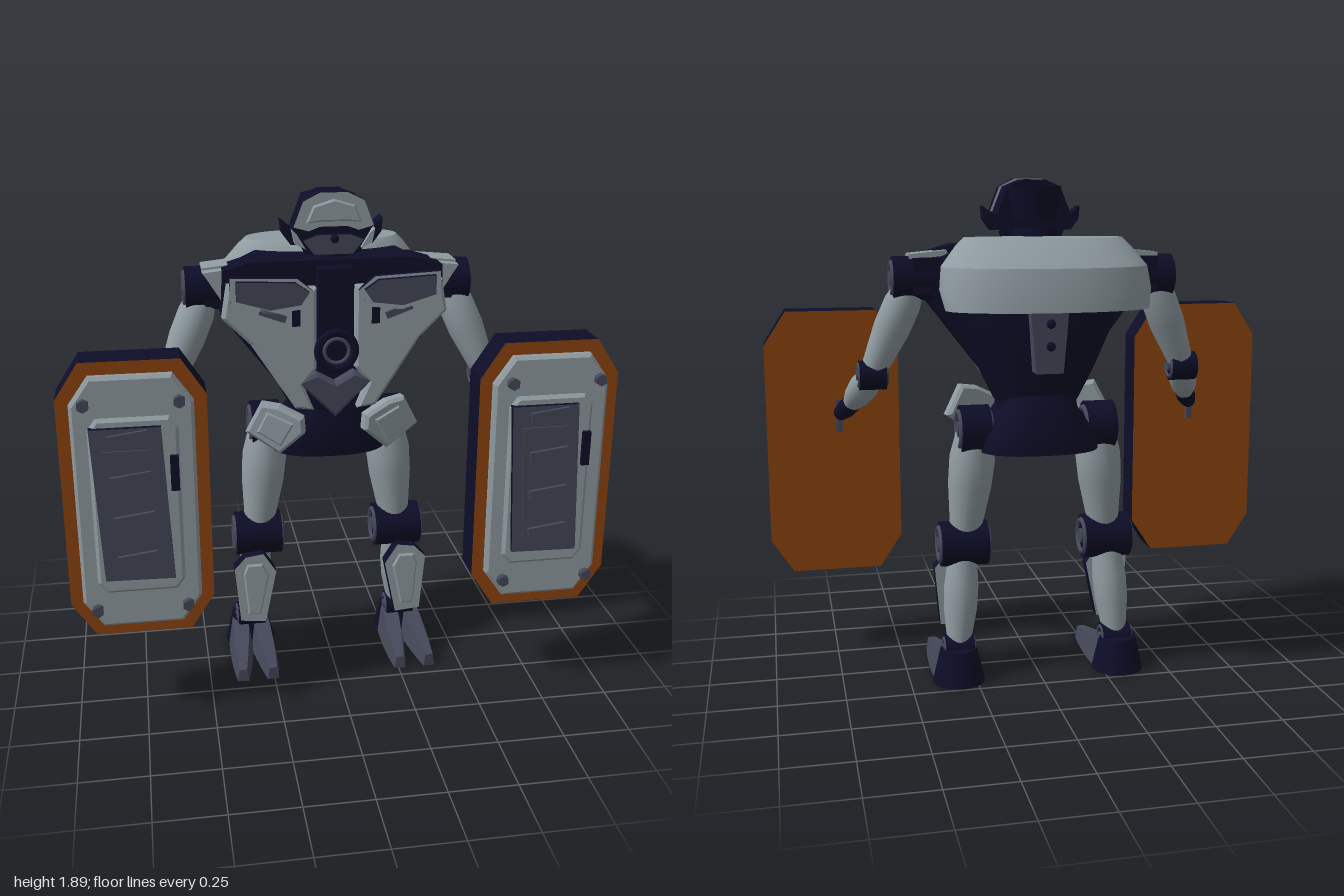
import * as THREE from 'three';
import { toCreasedNormals } from 'three/addons/utils/BufferGeometryUtils.js';

const mat = (name, color) => {
  const m = new THREE.MeshStandardMaterial({ color });
  m.name = name;
  return m;
};

export function createModel() {
  const root = new THREE.Group();
  const navy = mat('navy', 0x0d0d28), light = mat('lightGrey', 0x909ca2);
  const dark = mat('darkGrey', 0x444859), orange = mat('orange', 0x90440f);

  const add = (name, geo, material, x = 0, y = 0, z = 0, rx = 0, ry = 0, rz = 0) => {
    const m = new THREE.Mesh(geo, material);
    m.name = name;
    m.position.set(x, y, z);
    m.rotation.set(rx, ry, rz);
    root.add(m);
    return m;
  };
  const box = (name, material, w, h, d, ...place) => add(name, new THREE.BoxGeometry(w, h, d), material, ...place);

  // Flat outline pushed from z0 to z1, with separate face and rim colours
  const plate = (name, pts, z0, z1, face, rim = face, bevel = 0, ...rot) => {
    const shape = new THREE.Shape(pts.map(p => new THREE.Vector2(...p)));
    const geo = new THREE.ExtrudeGeometry(shape, {
      depth: z1 - z0 - bevel, bevelEnabled: bevel > 0, bevelThickness: bevel,
      bevelSize: bevel, bevelOffset: -bevel, bevelSegments: 1,
    });
    geo.computeBoundingBox();
    const c = geo.boundingBox.getCenter(new THREE.Vector3());
    geo.translate(-c.x, -c.y, -c.z);
    return add(name, geo, [face, rim], c.x, c.y, (z0 + z1) / 2, ...rot);
  };

  // Stack of superellipse rings [y, halfWidth, frontZ, backZ]
  const loft = (name, material, rings, power = 2, n = 40) => {
    const pos = [], idx = [];
    const bend = v => Math.sign(v) * Math.abs(v) ** (2 / power);
    for (const [y, rx, zf, zb] of rings)
      for (let i = 0; i < n; i++) {
        const a = i / n * Math.PI * 2;
        pos.push(rx * bend(Math.sin(a)), y, (zf + zb) / 2 + (zf - zb) / 2 * bend(Math.cos(a)));
      }
    for (let r = 0; r < rings.length - 1; r++)
      for (let i = 0; i < n; i++) {
        const a = r * n + i, b = r * n + (i + 1) % n;
        idx.push(a, b, b + n, a, b + n, a + n);
      }
    const top = (rings.length - 1) * n;
    for (let i = 1; i < n - 1; i++) idx.push(0, i + 1, i, top, top + i, top + i + 1);
    const geo = new THREE.BufferGeometry();
    geo.setAttribute('position', new THREE.Float32BufferAttribute(pos, 3));
    geo.setIndex(idx);
    return add(name, toCreasedNormals(geo, 0.5), material);
  };

  // Turned limb between two points; profile is [radius, fraction along]
  const limb = (name, material, a, b, profile) => {
    const from = new THREE.Vector3(...a), dir = new THREE.Vector3(...b).sub(from), len = dir.length();
    const pts = [[0, 0], ...profile, [0, 1]].map(([r, t]) => new THREE.Vector2(r, t * len));
    const m = add(name, toCreasedNormals(new THREE.LatheGeometry(pts, 20), 0.6), material, ...a);
    m.quaternion.setFromUnitVectors(new THREE.Vector3(0, 1, 0), dir.normalize());
    return m;
  };

  // Sideways joint drum with a ring and a hub on each end
  const joint = (name, x, y, z, r, w) => {
    add(name, new THREE.CylinderGeometry(r, r, w, 24), navy, x, y, z, 0, 0, Math.PI / 2);
    for (const e of [-1, 1]) {
      add(name + 'Ring', new THREE.TorusGeometry(r * 0.72, r * 0.13, 8, 24), dark, x + e * w / 2, y, z, 0, Math.PI / 2);
      add(name + 'Hub', new THREE.CylinderGeometry(r * 0.35, r * 0.35, 0.02, 6), dark, x + e * w / 2, y, z, 0, 0, Math.PI / 2);
    }
  };

  // Torso and pelvis
  loft('torso', navy, [[1.08, 0.16, 0.07, -0.22], [1.2, 0.22, 0.09, -0.25], [1.36, 0.29, 0.09, -0.27],
    [1.5, 0.35, 0.08, -0.27], [1.6, 0.37, 0.07, -0.24], [1.65, 0.27, 0.04, -0.2]], 2.3);
  loft('pelvis', navy, [[0.89, 0.23, 0.09, -0.27], [0.95, 0.23, 0.1, -0.27], [1.05, 0.15, 0.1, -0.25], [1.12, 0.15, 0.08, -0.22]], 2.6);
  plate('chestBlock', [[-0.4, 1.62], [-0.41, 1.46], [-0.15, 1.12], [0, 1.06], [0.15, 1.12], [0.41, 1.46], [0.4, 1.62], [0.3, 1.65], [-0.3, 1.65]], -0.03, 0.1, navy);
  box('sternum', navy, 0.13, 0.26, 0.07, 0, 1.5, 0.12);
  plate('bellyPlate', [[0, 1.07], [0.14, 1.21], [0.07, 1.24], [0, 1.2], [-0.07, 1.24], [-0.14, 1.21]], 0.09, 0.15, dark, dark, 0.01);
  add('chestPort', new THREE.CylinderGeometry(0.075, 0.075, 0.05, 24), navy, 0, 1.33, 0.14, Math.PI / 2);
  add('chestPortRing', new THREE.TorusGeometry(0.068, 0.015, 8, 28), navy, 0, 1.33, 0.165);
  add('chestPortInnerRing', new THREE.TorusGeometry(0.045, 0.007, 8, 24), dark, 0, 1.33, 0.167);

  // Rounded back shell and spine pack
  loft('backShell', light, [[1.43, 0.37, -0.12, -0.46], [1.5, 0.385, -0.06, -0.455], [1.58, 0.375, -0.03, -0.44],
    [1.65, 0.32, -0.05, -0.37], [1.68, 0.29, -0.08, -0.33]], 2.15, 48);
  plate('spinePack', [[-0.07, 1.43], [-0.05, 1.2], [0.05, 1.2], [0.07, 1.43]], -0.32, -0.24, dark);
  for (const y of [1.3, 1.38]) add('spineBolt', new THREE.SphereGeometry(0.017, 10, 8), navy, 0, y, -0.335);

  // Head
  add('neck', new THREE.CylinderGeometry(0.08, 0.1, 0.1, 20), navy, 0, 1.66, -0.04);
  plate('skull', [[-0.1, 1.67], [0.1, 1.67], [0.14, 1.76], [0.1, 1.86], [0.04, 1.885], [-0.04, 1.885], [-0.1, 1.86], [-0.14, 1.76]], -0.05, 0.08, navy);
  add('headBack', new THREE.CylinderGeometry(0.1, 0.08, 0.12, 20), navy, 0, 1.8, -0.055);
  plate('brow', [[-0.145, 1.77], [-0.11, 1.86], [-0.05, 1.89], [0.05, 1.89], [0.11, 1.86], [0.145, 1.77], [0.09, 1.755], [0.05, 1.77], [-0.05, 1.77], [-0.09, 1.755]], 0.06, 0.1, light, navy);
  plate('browInset', [[-0.1, 1.785], [-0.075, 1.845], [0, 1.868], [0.075, 1.845], [0.1, 1.785], [0.05, 1.79], [-0.05, 1.79]], 0.1, 0.112, light, light, 0.006);
  plate('jaw', [[-0.11, 1.72], [-0.07, 1.67], [0.07, 1.67], [0.11, 1.72], [0.06, 1.74], [-0.06, 1.74]], 0.06, 0.1, dark, navy);
  add('noseKnob', new THREE.SphereGeometry(0.016, 10, 8), navy, 0, 1.73, 0.12);

  for (const s of [1, -1]) {
    const P = pts => pts.map(([x, y]) => [x * s, y]);
    const V = (x, y, z) => [x * s, y, z];

    // Ear and cheek
    plate('ear', P([[0.12, 1.7], [0.15, 1.7], [0.18, 1.74], [0.185, 1.79], [0.15, 1.76], [0.13, 1.76]]), -0.01, 0.06, navy);
    plate('cheek', P([[0.1, 1.69], [0.14, 1.71], [0.15, 1.76], [0.13, 1.74]]), 0.05, 0.1, light);

    // Chest armour, pocket and slots
    plate('chestPlate', P([[0.07, 1.56], [0.39, 1.58], [0.41, 1.46], [0.31, 1.36], [0.15, 1.11], [0.08, 1.1], [0.12, 1.2], [0.07, 1.26]]), 0.1, 0.15, light, light, 0.012);
    plate('pocketRim', P([[0.08, 1.55], [0.14, 1.6], [0.38, 1.61], [0.38, 1.52], [0.24, 1.475], [0.12, 1.49]]), 0.14, 0.165, light, navy);
    plate('pocket', P([[0.1, 1.555], [0.15, 1.59], [0.36, 1.6], [0.36, 1.53], [0.24, 1.495], [0.13, 1.51]]), 0.16, 0.185, dark, navy);
    box('chestSlot', navy, 0.03, 0.06, 0.02, s * 0.145, 1.455, 0.15);
    box('chestBar', dark, 0.1, 0.025, 0.03, s * 0.23, 1.47, 0.15, 0, 0, s * 0.35);

    // Shoulder
    joint('shoulder', s * 0.455, 1.53, -0.05, 0.08, 0.15);
    box('shoulderMount', navy, 0.16, 0.13, 0.15, s * 0.38, 1.54, -0.05);
    box('shoulderCap', light, 0.14, 0.02, 0.11, s * 0.4, 1.615, -0.03, 0, 0, -s * 0.1);
    plate('shoulderTrim', P([[0.38, 1.62], [0.47, 1.61], [0.45, 1.58], [0.4, 1.5]]), 0.02, 0.07, light);

    // Arm reaching forward to the shield grip
    limb('upperArm', light, V(0.465, 1.5, -0.05), V(0.6, 1.19, 0), [[0.055, 0.02], [0.068, 0.2], [0.068, 0.5], [0.05, 0.96]]);
    joint('elbow', s * 0.605, 1.17, 0, 0.056, 0.1);
    limb('forearm', light, V(0.61, 1.16, 0.01), V(0.675, 1.04, 0.155), [[0.042, 0.02], [0.056, 0.35], [0.05, 0.7], [0.035, 0.97]]);
    limb('hand', navy, V(0.665, 1.05, 0.14), V(0.72, 0.985, 0.225), [[0.035, 0.05], [0.038, 0.5], [0.028, 0.95]]);
    box('grip', dark, 0.025, 0.13, 0.025, s * 0.72, 0.98, 0.23);

    // Hip and its guard
    joint('hip', s * 0.24, 0.97, -0.1, 0.09, 0.11);
    plate('hipGuard', P([[0.11, 1.06], [0.2, 1.105], [0.27, 1.115], [0.33, 1.0], [0.2, 0.915], [0.105, 1.0]]), 0.055, 0.1, light, light, 0.012, 0, s * 0.25, 0);
    plate('hipGuardInset', P([[0.15, 1.04], [0.25, 1.085], [0.29, 1.005], [0.2, 0.95]]), 0.09, 0.11, light, light, 0.006, 0, s * 0.25, 0);

    // Leg
    limb('thigh', light, V(0.235, 0.96, -0.085), V(0.275, 0.54, -0.065), [[0.07, 0.02], [0.087, 0.25], [0.083, 0.5], [0.058, 0.95]]);
    joint('knee', s * 0.28, 0.52, -0.065, 0.086, 0.18);
    limb('shin', light, V(0.285, 0.48, -0.075), V(0.31, 0.13, -0.12), [[0.055, 0.02], [0.066, 0.35], [0.064, 0.6], [0.045, 0.97]]);
    plate('shinGuard', P([[0.27, 0.47], [0.34, 0.46], [0.385, 0.41], [0.365, 0.18], [0.265, 0.17], [0.22, 0.39]].map(([x, y]) => [x, y])), -0.015, 0.04, light, navy);
    plate('shinGuardInset', P([[0.275, 0.43], [0.335, 0.43], [0.35, 0.39], [0.335, 0.21], [0.285, 0.21], [0.25, 0.38]]), 0.04, 0.05, light, light, 0.006);

    // Ankle and foot with two wedge toes
    joint('ankle', s * 0.31, 0.12, -0.12, 0.055, 0.11);
    add('heel', new THREE.CylinderGeometry(0.07, 0.1, 0.13, 20), navy, s * 0.315, 0.065, -0.145);
    for (const t of [-1, 1]) {
      const toe = new THREE.BoxGeometry(0.1, 0.1, 0.32, 4, 2, 4), p = toe.attributes.position;
      for (let i = 0; i < p.count; i++) {
        const f = p.getZ(i) / 0.32 + 0.5, up = p.getY(i) / 0.1 + 0.5;
        p.setXYZ(i, p.getX(i) * (1 - 0.55 * f * f) * (1 - 0.35 * up), up * (0.11 - 0.06 * f), p.getZ(i));
      }
      toe.computeVertexNormals();
      add('toe', toe, dark, s * 0.315 + t * 0.05, 0, 0.04, 0, t * 0.06);
    }

    // Shield: the same layout on both sides
    const cx = s * 0.742, S = pts => pts.map(([x, y]) => [cx + x, y]);
    const octagon = (w, y0, y1, c, d) => S([[-w + c, y0], [w - c, y0], [w, y0 + d], [w, y1 - d], [w - c, y1], [-w + c, y1], [-w, y1 - d], [-w, y0 + d]]);
    plate('shieldSlab', octagon(0.257, 0.355, 1.39, 0.085, 0.13), 0.235, 0.365, orange, navy);
    plate('shieldFace', octagon(0.212, 0.4, 1.345, 0.07, 0.1), 0.36, 0.39, light, light, 0.012);
    plate('shieldRaisedPanel', octagon(0.155, 0.54, 1.2, 0.03, 0.04), 0.385, 0.405, light, light, 0.012);
    plate('shieldHatch', S([[-0.15, 1.17], [0.095, 1.17], [0.12, 0.595], [-0.125, 0.6]]), 0.4, 0.428, dark, navy);
    plate('shieldHatchInset', S([[-0.11, 1.09], [0.06, 1.09], [0.085, 0.66], [-0.09, 0.66]]), 0.425, 0.433, dark);
    box('shieldSlot', navy, 0.03, 0.13, 0.02, cx + 0.135, 0.995, 0.415);
    for (let i = 0; i < 4; i++)
      box('shieldRung', dark, 0.14, 0.035, 0.012, cx - 0.02 + i * 0.005, 1.145 - i * 0.15, 0.453, 0, 0, 0.13);
    for (const bx of [-0.16, 0.16]) for (const by of [0.495, 1.265])
      add('shieldBolt', new THREE.CylinderGeometry(0.022, 0.022, 0.025, 6), dark, cx + bx, by, 0.447, Math.PI / 2);
  }
  return root;
}
